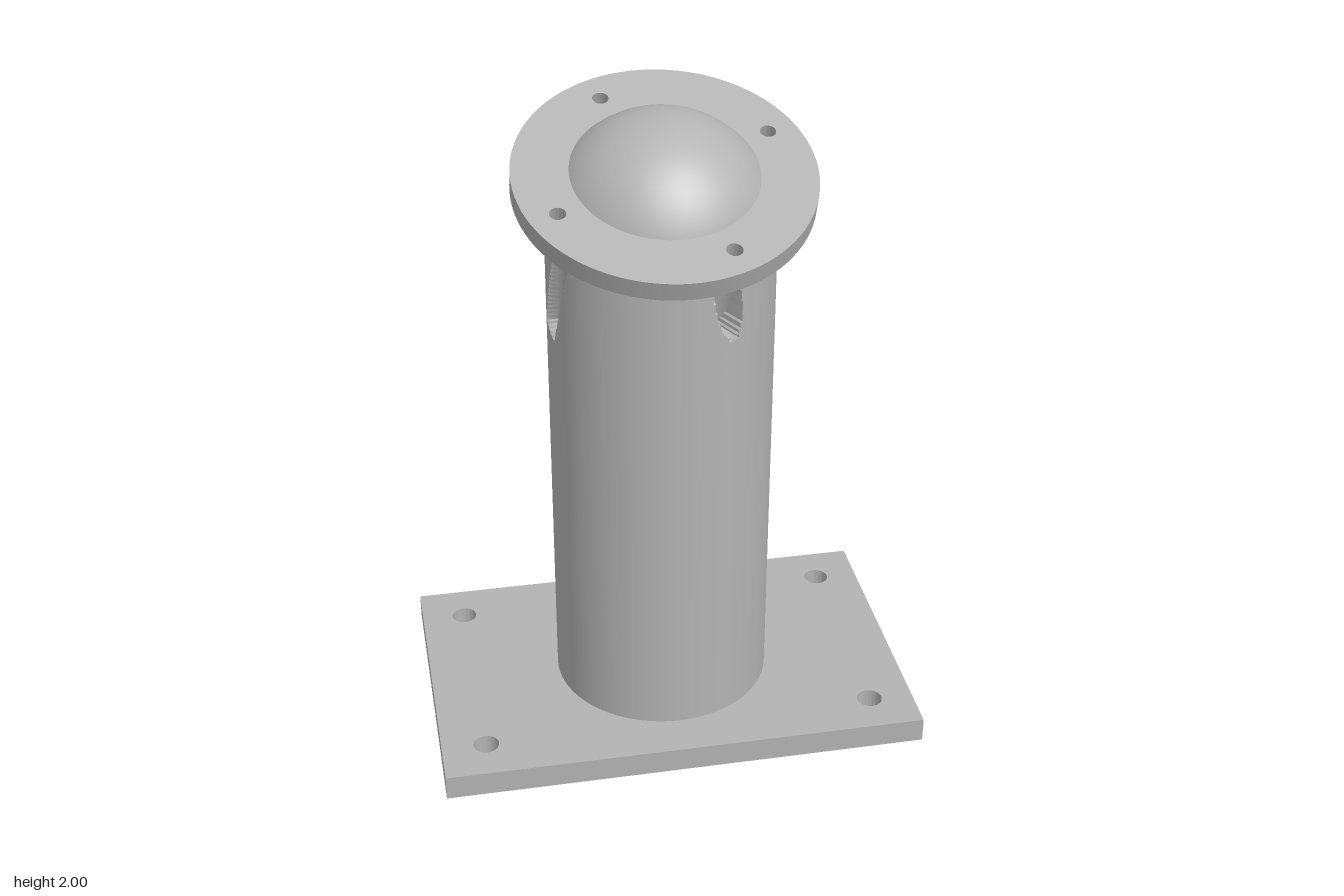
import * as THREE from 'three';
import { toCreasedNormals } from 'three/addons/utils/BufferGeometryUtils.js';

const R = 0.342;                          // post, elbow and dome radius
const TILT = THREE.MathUtils.degToRad(20);
const ELBOW = new THREE.Vector3(0, 1.658, 0);
const AXIS = new THREE.Vector3(0, Math.cos(TILT), Math.sin(TILT));
const FLANGE_BOTTOM = 0.14, FLANGE_TOP = 0.204;
const PLATE_H = 0.08, BORE_R = 0.177;

// four bolt positions in the tilted flange plane (across, forward)
const BOLTS = [0, 1, 2, 3].map((i) => {
  const a = THREE.MathUtils.degToRad(22.5 + 90 * i);
  return [0.355 * Math.sin(a), 0.355 * Math.cos(a)];
});

// flat slab lying on y = 0 with round holes given as [x, z, radius]
function slab(shape, holes, height) {
  for (const [x, z, r] of holes) {
    shape.holes.push(new THREE.Path().absarc(x, -z, r, 0, Math.PI * 2, true));
  }
  const geo = new THREE.ExtrudeGeometry(shape, { depth: height, bevelEnabled: false, curveSegments: 48 });
  geo.rotateX(-Math.PI / 2);
  return toCreasedNormals(geo, 0.6);
}

// true inside the bent post, after the bolt channels are drilled out
function isSolid(x, y, z) {
  const dy = y - ELBOW.y;
  const t = dy * AXIS.y + z * AXIS.z;     // height along the tilted axis
  const v = z * AXIS.y - dy * AXIS.z;     // forward in the tilted plane
  const inBody = (dy <= 0 && Math.hypot(x, z) < R)
    || Math.hypot(x, dy, z) < R
    || (t >= 0 && Math.hypot(x, v) < R);
  if (!inBody) return false;
  return !(t > -0.27 && BOLTS.some(([bx, bv]) => Math.hypot(x - bx, v - bv) < 0.043));
}

// outermost solid point on a ray from the spine
function surfaceRadius(c, d) {
  const at = (r) => isSolid(c.x + d.x * r, c.y + d.y * r, c.z + d.z * r);
  let r = 0.42;
  while (r > 0.2 && !at(r)) r -= 0.004;
  let lo = r, hi = r + 0.004;
  for (let i = 0; i < 9; i++) {
    const mid = (lo + hi) / 2;
    if (at(mid)) lo = mid; else hi = mid;
  }
  return lo;
}

// post skin: rings along the spine that gradually lean into the flange
function postGeometry() {
  const SEG = 360, ROWS = 100, START = 1.26;
  const straight = ELBOW.y - START, total = straight + 0.172;
  const pos = [], index = [];
  const d = new THREE.Vector3();
  for (let k = -1; k <= ROWS; k++) {
    const f = Math.max(k, 0) / ROWS, s = f * total, a = f * TILT;
    const c = new THREE.Vector3(0, k < 0 ? PLATE_H : START + Math.min(s, straight), 0);
    c.addScaledVector(AXIS, Math.max(0, s - straight));
    for (let i = 0; i < SEG; i++) {
      const th = (i / SEG) * Math.PI * 2;
      d.set(Math.cos(th), -Math.sin(a) * Math.sin(th), Math.cos(a) * Math.sin(th));
      const r = k <= 0 ? R : surfaceRadius(c, d);
      pos.push(c.x + d.x * r, c.y + d.y * r, c.z + d.z * r);
    }
  }
  for (let k = 0; k <= ROWS; k++) {
    for (let i = 0; i < SEG; i++) {
      const j = (i + 1) % SEG, p = k * SEG, q = p + SEG;
      index.push(p + i, q + i, p + j, p + j, q + i, q + j);
    }
  }
  const geo = new THREE.BufferGeometry();
  geo.setAttribute('position', new THREE.Float32BufferAttribute(pos, 3));
  geo.setIndex(index);
  return toCreasedNormals(geo, 0.6);
}

export function createModel() {
  const model = new THREE.Group();
  model.name = 'tiltedFlangePost';
  const grey = new THREE.MeshStandardMaterial({ color: 0xb3b3b3 });
  grey.name = 'grey';
  const greyInside = grey.clone();
  greyInside.side = THREE.DoubleSide;
  const add = (parent, name, geo, mat = grey) => {
    const mesh = new THREE.Mesh(geo, mat);
    mesh.name = name;
    parent.add(mesh);
    return mesh;
  };

  // base plate with corner holes and a central bore
  const W = 0.76, D = 0.483;
  const outline = new THREE.Shape([[-W, -D], [W, -D], [W, D], [-W, D]].map(([x, y]) => new THREE.Vector2(x, y)));
  const holes = [[0, 0, BORE_R]];
  for (const sx of [-1, 1]) for (const sz of [-1, 1]) holes.push([sx * 0.62, sz * 0.345, 0.04]);
  add(model, 'basePlate', slab(outline, holes, PLATE_H));

  // bent post and its blind inner bore
  add(model, 'post', postGeometry());
  const bore = new THREE.LatheGeometry(
    [[BORE_R, PLATE_H], [BORE_R, 1.55], [0, 1.55]].map(([x, y]) => new THREE.Vector2(x, y)), 64);
  add(model, 'innerBore', toCreasedNormals(bore, 0.6), greyInside);

  // tilted head: flange ring with bolt holes, dome on top
  const head = new THREE.Group();
  head.name = 'head';
  head.position.copy(ELBOW);
  head.rotation.x = TILT;
  model.add(head);
  const disc = new THREE.Shape().absarc(0, 0, 0.4415, 0, Math.PI * 2, false);
  const flange = slab(disc, BOLTS.map(([x, z]) => [x, z, 0.024]), FLANGE_TOP - FLANGE_BOTTOM);
  add(head, 'flange', flange).position.y = FLANGE_BOTTOM;
  add(head, 'dome', new THREE.SphereGeometry(R, 96, 32, 0, Math.PI * 2, 0, Math.acos(FLANGE_TOP / R) + 0.02));

  return model;
}
